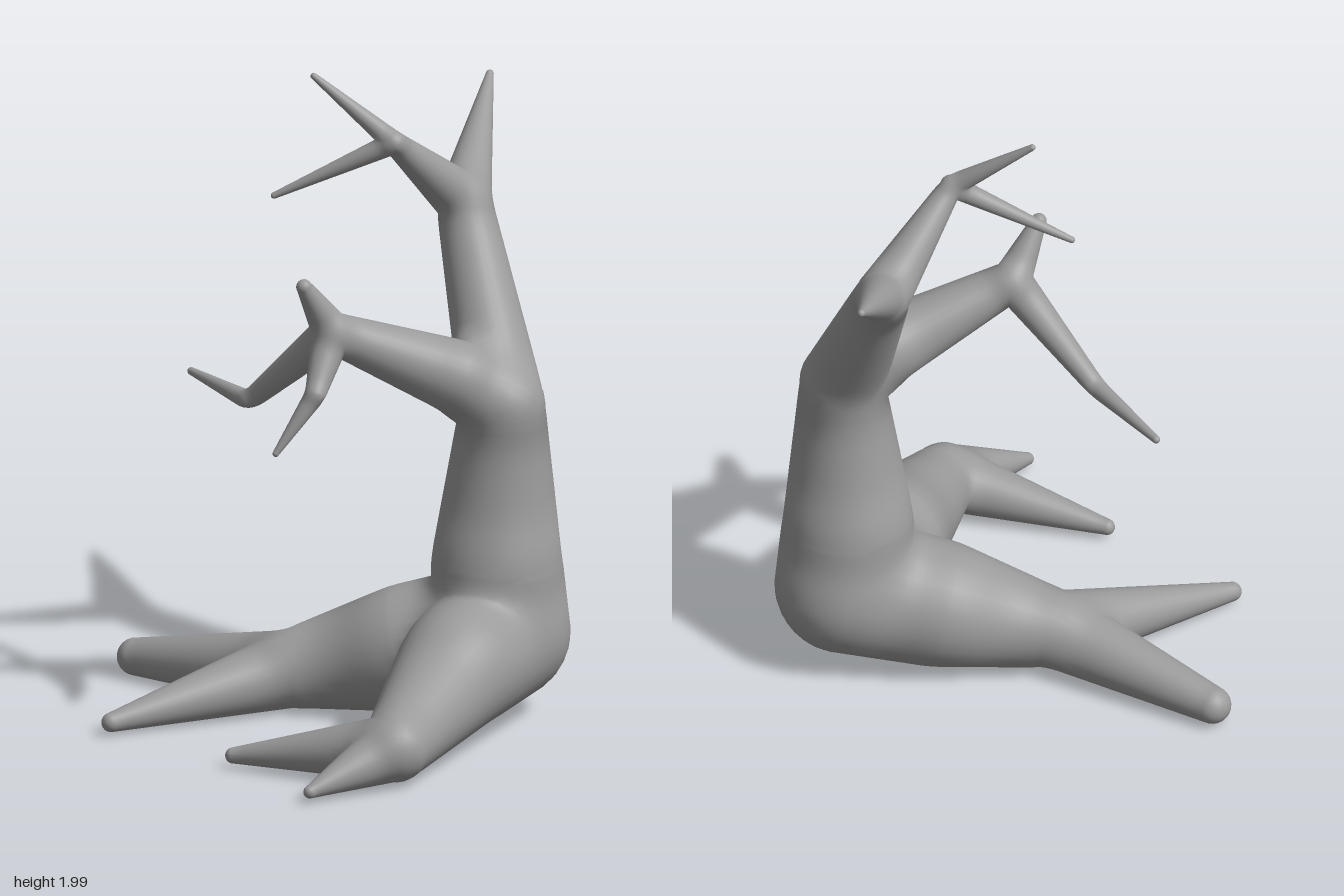
import * as THREE from 'three';

const SIDES = 28;
const material = new THREE.MeshStandardMaterial({ color: 0x9b9b9b });

// Shared joints [x, y, z, radius], so that limbs meet cleanly
const base = [0.503, 0.27, -0.23, 0.213];
const crotch = [0.525, 1.0, -0.2, 0.13];
const upperFork = [0.28, 1.55, -0.43, 0.085];
const twigFork = [0.185, 1.8, -0.145, 0.035];
const lowerFork = [0.12, 1.27, 0.15, 0.062];
const leftRootFork = [0.545, 0.125, 0.58, 0.105];
const rightRootFork = [-0.1, 0.13, 0.0, 0.12];

const limbs = {
  // Trunk, running on into the upper branch and its long spike
  trunk: [base, [0.5, 0.5, -0.21, 0.2], crotch, upperFork, [0.148, 1.815, -0.877, 0.012]],

  // Upper branch fork
  upperBranch: [upperFork, twigFork, [-0.065, 1.99, -0.1, 0.01]],
  upperTwig: [twigFork, [-0.16, 1.62, -0.02, 0.01]],

  // Lower branch with three twigs
  lowerBranch: [crotch, [0.42, 1.1, -0.1, 0.115], lowerFork, [0.078, 1.437, 0.257, 0.024]],
  lowerLongTwig: [lowerFork, [-0.185, 0.998, 0.1, 0.03], [-0.47, 1.005, -0.08, 0.012]],
  lowerFrontTwig: [lowerFork, [0.13, 1.11, 0.285, 0.032], [0.043, 0.937, 0.38, 0.01]],

  // Left root, forked at its end
  leftRoot: [base, [0.51, 0.235, 0.08, 0.19], leftRootFork, [0.4, 0.045, 0.87, 0.02]],
  leftRootSpur: [leftRootFork, [0.03, 0.05, 0.645, 0.025]],

  // Right root, forked half way
  rightRoot: [base, [0.22, 0.205, -0.12, 0.195], rightRootFork, [-0.66, 0.072, -0.085, 0.058]],
  rightRootSpur: [rightRootFork, [-0.455, 0.05, 0.5, 0.03]],
};

// Every straight piece of every limb, used to blend the shading across joints
const bones = Object.values(limbs).flatMap((points) => points.slice(1).map((b, i) => {
  const a = points[i];
  const line = new THREE.Line3(new THREE.Vector3(a[0], a[1], a[2]), new THREE.Vector3(b[0], b[1], b[2]));
  const slope = line.delta(new THREE.Vector3()).multiplyScalar((a[3] - b[3]) / line.distanceSq());
  return { line, slope, r0: a[3], r1: b[3] };
}));

// Normal at q, weighted towards the bones whose surface is nearest
function blendedNormal(q, radius) {
  const normal = new THREE.Vector3(), c = new THREE.Vector3();
  for (const { line, slope, r0, r1 } of bones) {
    const t = line.closestPointToPointParameter(q, true);
    line.at(t, c);
    const away = q.clone().sub(c);
    const d = away.length() - THREE.MathUtils.lerp(r0, r1, t);
    const weight = Math.exp(-Math.max(d, -radius) / (0.14 * radius + 0.003));
    away.normalize();
    if (t > 0 && t < 1) away.add(slope).normalize();
    normal.addScaledVector(away, weight);
  }
  return normal.normalize();
}

// Path of [x, y, z, radius] points with its corners slightly rounded off
function roundedPath(points) {
  const p = points.map((a) => new THREE.Vector4(...a));
  const path = [p[0]];
  const runTo = (end) => {
    const start = path[path.length - 1];
    for (let j = 1; j <= 14; j++) path.push(start.clone().lerp(end, j / 14));
  };
  for (let i = 1; i < p.length - 1; i++) {
    const a = p[i].clone().lerp(p[i - 1], 0.12);
    const b = p[i].clone().lerp(p[i + 1], 0.12);
    runTo(a);
    for (let j = 1; j <= 5; j++) {
      const t = j / 5;
      path.push(a.clone().lerp(p[i], t).lerp(p[i].clone().lerp(b, t), t));
    }
  }
  runTo(p[p.length - 1]);
  return path;
}

// Tapered round limb with domed ends
function limb(name, points) {
  const path = roundedPath(points);
  const n = path.length;
  const at = path.map((v) => new THREE.Vector3(v.x, v.y, v.z));
  const dir = at.map((_, i) => at[Math.min(i + 1, n - 1)].clone().sub(at[Math.max(i - 1, 0)]).normalize());

  // Rings: start dome, body, end dome
  const rings = [];
  const dome = (i, sign) => {
    for (let k = 1; k <= 7; k++) {
      const a = (k / 7) * Math.PI / 2;
      const r = path[i].w;
      const ring = {
        c: at[i].clone().addScaledVector(dir[i], sign * Math.sin(a) * r),
        d: dir[i], r: Math.max(Math.cos(a) * r, 0.0002), size: r,
      };
      if (sign < 0) rings.unshift(ring); else rings.push(ring);
    }
  };
  dome(0, -1);
  for (let i = 0; i < n; i++) rings.push({ c: at[i], d: dir[i], r: path[i].w, size: path[i].w });
  dome(n - 1, 1);

  const positions = [], normals = [], index = [];
  const u = Math.abs(dir[0].y) > 0.8 ? new THREE.Vector3(1, 0, 0) : new THREE.Vector3(0, 1, 0);
  rings.forEach(({ c, d, r, size }, i) => {
    u.addScaledVector(d, -u.dot(d)).normalize();
    const v = d.clone().cross(u);
    for (let s = 0; s < SIDES; s++) {
      const a = (s / SIDES) * Math.PI * 2;
      const q = c.clone().addScaledVector(u, Math.cos(a) * r).addScaledVector(v, Math.sin(a) * r);
      positions.push(...q.toArray());
      normals.push(...blendedNormal(q, size).toArray());
      if (i === 0) continue;
      const t = (s + 1) % SIDES, lo = (i - 1) * SIDES, hi = i * SIDES;
      index.push(lo + s, lo + t, hi + t, lo + s, hi + t, hi + s);
    }
  });
  const geometry = new THREE.BufferGeometry();
  geometry.setAttribute('position', new THREE.Float32BufferAttribute(positions, 3));
  geometry.setAttribute('normal', new THREE.Float32BufferAttribute(normals, 3));
  geometry.setIndex(index);
  const mesh = new THREE.Mesh(geometry, material);
  mesh.name = name;
  return mesh;
}

export function createModel() {
  const tree = new THREE.Group();
  tree.name = 'bareTree';
  for (const [name, points] of Object.entries(limbs)) tree.add(limb(name, points));
  return tree;
}
